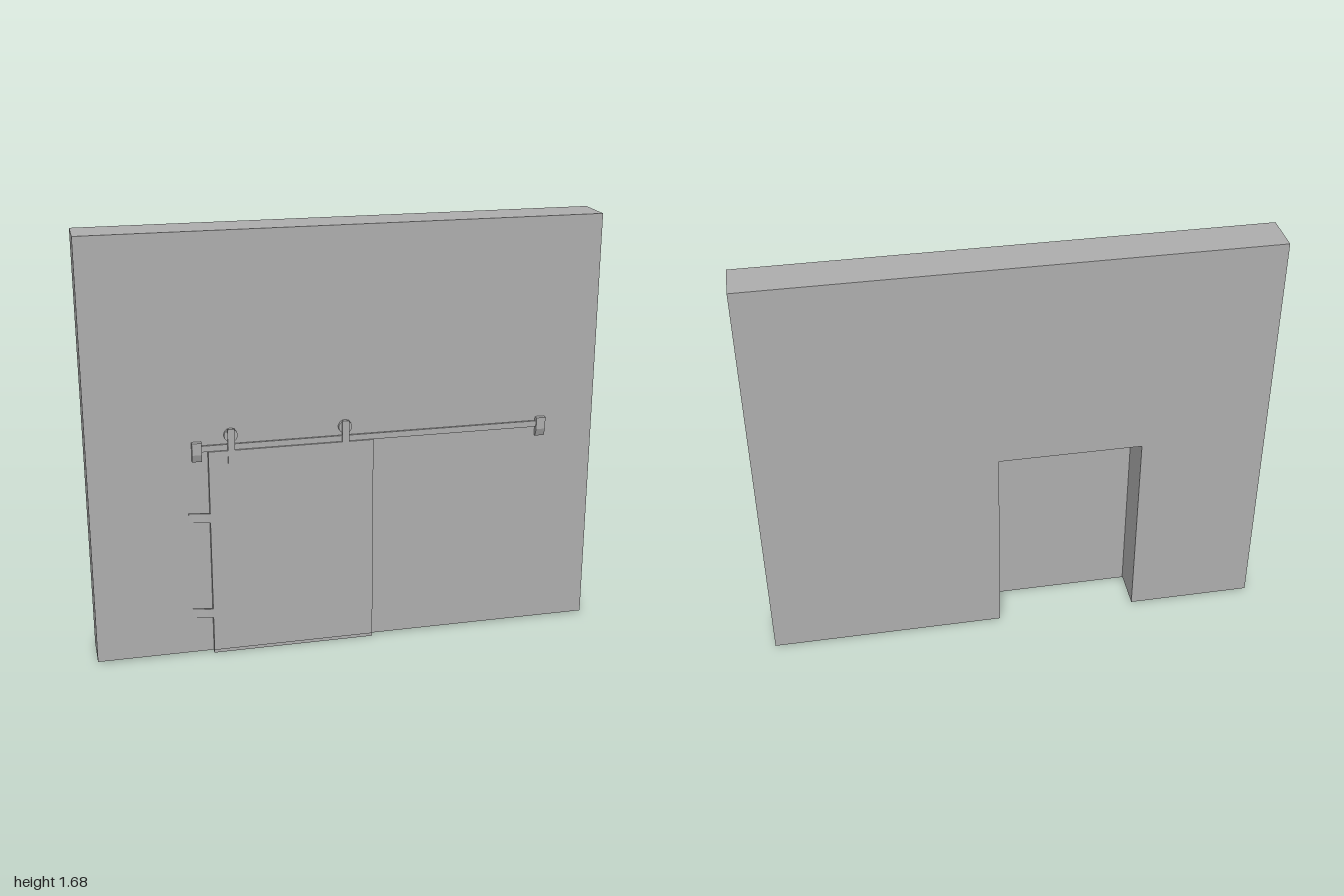
import * as THREE from 'three';

export function createModel() {
  const group = new THREE.Group();
  const grey = new THREE.MeshStandardMaterial({ color: 0xb0b0b0 });
  grey.name = 'plain grey';

  const WALL_BACK = -0.096;
  const WALL_FRONT = 0.07;

  const add = (name, geometry, parent = group) => {
    const mesh = new THREE.Mesh(geometry, grey);
    mesh.name = name;
    parent.add(mesh);
    return mesh;
  };

  // Box given by its limits on each axis
  const block = (name, [x0, x1], [y0, y1], [z0, z1], parent) => {
    const mesh = add(name, new THREE.BoxGeometry(x1 - x0, y1 - y0, z1 - z0), parent);
    mesh.position.set((x0 + x1) / 2, (y0 + y1) / 2, (z0 + z1) / 2);
    return mesh;
  };

  const outline = (points) => new THREE.Shape(points.map(([x, y]) => new THREE.Vector2(x, y)));

  // Wall with the doorway cut up from its lower edge
  const wallShape = outline([
    [-1, 0.007], [-0.5, 0.007], [-0.5, 0.835], [0.066, 0.835],
    [0.066, 0.007], [1, 0.007], [1, 1.68], [-1, 1.68],
  ]);
  const wall = add('wall', new THREE.ExtrudeGeometry(wallShape, {
    depth: WALL_FRONT - WALL_BACK, bevelEnabled: false,
  }));
  wall.position.z = WALL_BACK;

  // Sliding door: full backing panel and a front panel raised off the floor
  const door = new THREE.Group();
  door.name = 'slidingDoor';
  group.add(door);
  block('doorBacking', [-0.545, 0.098], [0, 0.845], [0.0715, 0.083], door);
  block('doorFront', [-0.545, 0.096], [0.016, 0.845], [0.083, 0.091], door);

  // Curved straps that sweep from the door edge back to the wall
  const strapShape = new THREE.Shape();
  strapShape.moveTo(-0.54, 0.091);
  strapShape.bezierCurveTo(-0.58, 0.091, -0.59, 0.075, -0.625, 0.073);
  strapShape.lineTo(-0.625, 0.0695);
  strapShape.bezierCurveTo(-0.585, 0.071, -0.575, 0.086, -0.54, 0.086);
  for (const top of [0.595, 0.194]) {
    const strap = add('edgeStrap', new THREE.ExtrudeGeometry(strapShape, {
      depth: 0.037, bevelEnabled: false, curveSegments: 8,
    }));
    strap.rotation.x = Math.PI / 2;
    strap.position.y = top;
  }

  // Rail
  block('rail', [-0.6, 0.795], [0.844, 0.868], [0.076, 0.084]);

  // Rail end brackets, tapering to the wall at the bottom
  const bracketShape = outline([
    [0.07, 0.805], [0.08, 0.805], [0.09, 0.835], [0.09, 0.882], [0.07, 0.882],
  ]);
  for (const right of [-0.569, 0.798]) {
    const bracket = add('railBracket', new THREE.ExtrudeGeometry(bracketShape, {
      depth: 0.037, bevelEnabled: false,
    }));
    bracket.rotation.y = -Math.PI / 2;
    bracket.position.x = right;
  }

  // Roller hangers: wheel on the rail and a strap down to the door
  for (const x of [-0.457, -0.014]) {
    const hanger = new THREE.Group();
    hanger.name = 'hanger';
    hanger.position.x = x;
    group.add(hanger);
    const wheel = add('wheel', new THREE.CylinderGeometry(0.026, 0.026, 0.013, 32), hanger);
    wheel.rotation.x = Math.PI / 2;
    wheel.position.set(0, 0.903, 0.081);
    block('hangerStrap', [-0.0135, 0.0135], [0.755, 0.93], [0.087, 0.096], hanger);
  }

  return group;
}
